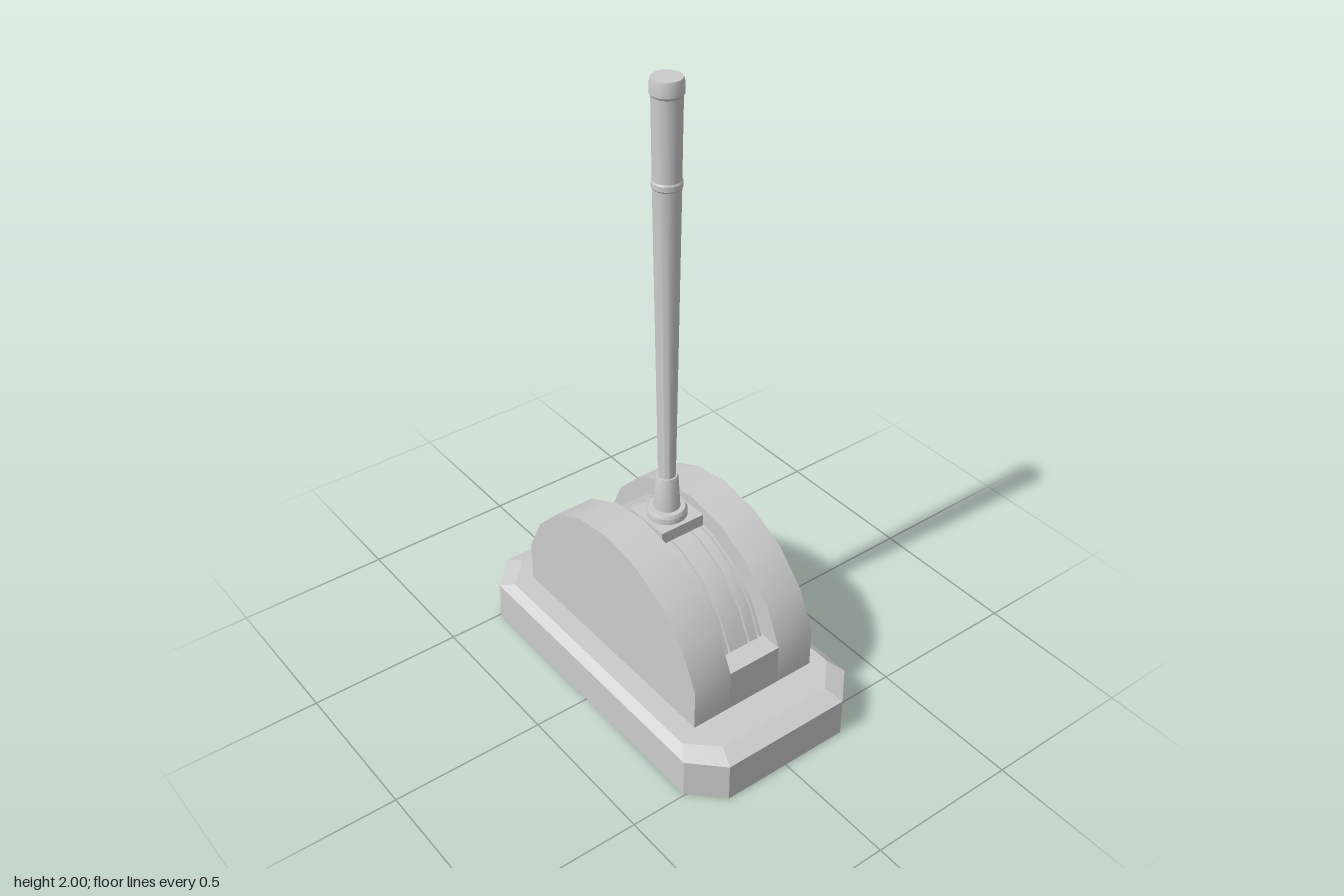
import * as THREE from 'three';
import { toCreasedNormals } from 'three/addons/utils/BufferGeometryUtils.js';

const CX = -0.01, CZ = -0.01; // centre of the housing and lever
const SPRING = 0.29;          // height where the arches start
const BASE_TOP = 0.152;

// Half outline of the arch, relative to its springing line
const ARCH = [[0.43, 0], [0.37, 0.122], [0.27, 0.224], [0.14, 0.288], [0, 0.31]];

export function createModel() {
  const group = new THREE.Group();
  const material = new THREE.MeshStandardMaterial({ color: 0xcccccc });

  const add = (name, geometry, x = 0, y = 0, z = 0) => {
    const mesh = new THREE.Mesh(geometry, material);
    mesh.name = name;
    mesh.position.set(x, y, z);
    group.add(mesh);
    return mesh;
  };

  // Arched slab between two z positions, with optional straight legs below
  const archSlab = (name, scale, drop, z0, z1) => {
    const right = ARCH.map(([x, y]) => new THREE.Vector2(x * scale, y * scale));
    const left = right.slice(0, -1).reverse().map((p) => new THREE.Vector2(-p.x, p.y));
    const points = [...right, ...left];
    if (drop) {
      const w = right[0].x;
      points.push(new THREE.Vector2(-w, -drop), new THREE.Vector2(w, -drop));
    }
    const geometry = new THREE.ExtrudeGeometry(new THREE.Shape(points), { depth: z1 - z0, bevelEnabled: false });
    add(name, toCreasedNormals(geometry, 0.6), CX, SPRING, z0);
  };

  // Base plate: octagon whose top ring is drawn in to form the chamfer
  const octagon = [
    [0.59, -0.22], [0.59, 0.22], [0.495, 0.315], [-0.495, 0.315],
    [-0.59, 0.22], [-0.59, -0.22], [-0.495, -0.315], [0.495, -0.315],
  ].map(([x, y]) => new THREE.Vector2(x, y));
  const base = new THREE.ExtrudeGeometry(new THREE.Shape(octagon), { depth: 1, steps: 2, bevelEnabled: false });
  const pos = base.attributes.position;
  for (let i = 0; i < pos.count; i++) {
    const level = pos.getZ(i);
    const top = level > 0.9;
    pos.setXYZ(i,
      pos.getX(i) * (top ? 0.9 : 1),
      pos.getY(i) * (top ? 0.905 : 1),
      top ? BASE_TOP : level > 0.4 ? 0.13 : 0);
  }
  base.rotateX(-Math.PI / 2);
  base.computeVertexNormals();
  add('basePlate', base);

  // Two housing cheeks with a low sill between them
  archSlab('backCheek', 1, SPRING - BASE_TOP + 0.005, -0.235, -0.103);
  archSlab('frontCheek', 1, SPRING - BASE_TOP + 0.005, 0.083, 0.217);
  const sillHeight = SPRING - BASE_TOP + 0.005;
  add('slotSill', new THREE.BoxGeometry(0.86, sillHeight, 0.186), CX, SPRING - sillHeight / 2, CZ);

  // Curved guide rails in the slot, with narrow gaps between
  const rails = [[-0.097, -0.088], [-0.082, -0.05], [-0.044, 0.025], [0.031, 0.06], [0.066, 0.075]];
  rails.forEach(([z0, z1], i) => archSlab('guideRail' + (i + 1), 0.832, 0, z0, z1));

  // Slider plate that rides on the rails
  add('sliderPlate', new THREE.BoxGeometry(0.156, 0.04, 0.156), CX, 0.565, CZ);

  // Turned lever: flange, collar, flared shaft, ring, grip and cap
  const profile = [
    [0, 0.58], [0.063, 0.58], [0.063, 0.604], [0.057, 0.615], [0.041, 0.615],
    [0.035, 0.722], [0.032, 0.73], [0.027, 0.73],
    [0.041, 1.685], [0.044, 1.69], [0.044, 1.705], [0.041, 1.71],
    [0.044, 1.95], [0.048, 1.957], [0.048, 1.985], [0.044, 2], [0, 2],
  ].map(([r, y]) => new THREE.Vector2(r, y));
  add('lever', toCreasedNormals(new THREE.LatheGeometry(profile, 24), 0.5), -0.008, 0, -0.008);

  return group;
}
